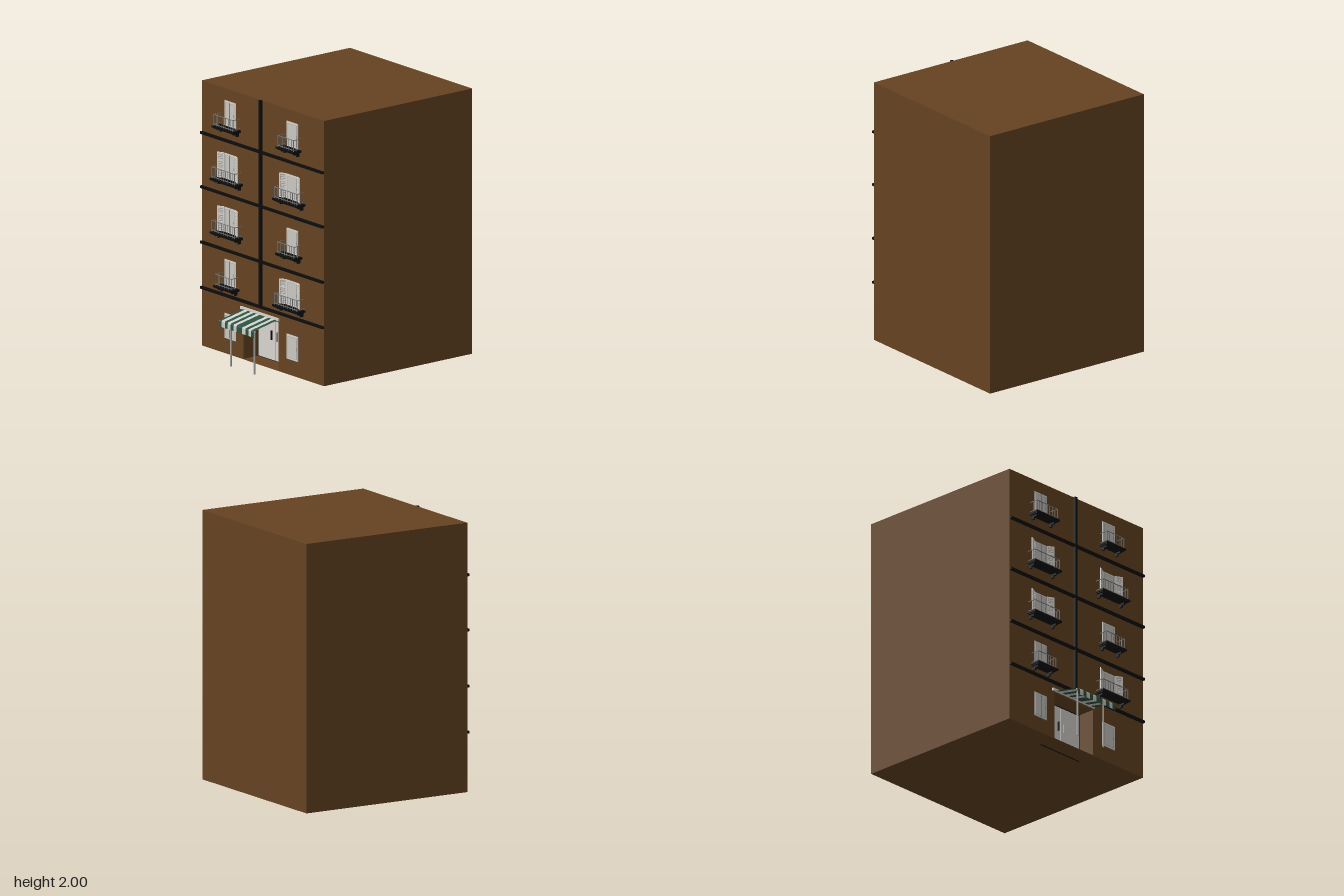
import * as THREE from 'three';

const mat = (name, color, side = THREE.FrontSide) => {
  const m = new THREE.MeshStandardMaterial({ color, side });
  m.name = name;
  return m;
};

export function createModel() {
  const brown = mat('brown wall', 0x654321);
  const black = mat('black trim', 0x0d0d0d);
  const white = mat('off white', 0xd9d6d0);
  const pane = mat('pane', 0xcbc9c3);
  const grey = mat('grey metal', 0x777777);
  const pale = mat('pale metal', 0xaaa9a6);
  const green = mat('green cloth', 0x2a5343, THREE.DoubleSide);
  const cloth = mat('white cloth', 0xd0cec8, THREE.DoubleSide);

  const model = new THREE.Group();
  model.name = 'apartmentBuilding';
  const group = (name, parent = model) => {
    const g = new THREE.Group();
    g.name = name;
    parent.add(g);
    return g;
  };
  // Box given by its minimum and maximum corners
  const box = (parent, name, m, x0, x1, y0, y1, z0, z1) => {
    const mesh = new THREE.Mesh(new THREE.BoxGeometry(x1 - x0, y1 - y0, z1 - z0), m);
    mesh.position.set((x0 + x1) / 2, (y0 + y1) / 2, (z0 + z1) / 2);
    mesh.name = name;
    parent.add(mesh);
    return mesh;
  };
  const FRONT = 0.577, DOOR_Z = 0.44, DX0 = -0.225, DX1 = 0.178;

  // Main block, with the door recess cut through its front slab
  box(model, 'mainBlock', brown, -0.7, 0.7, 0.01, 2, -0.8, DOOR_Z - 0.01);
  const wall = new THREE.Shape();
  wall.moveTo(-0.7, 0.01).lineTo(0.7, 0.01).lineTo(0.7, 2).lineTo(-0.7, 2).closePath();
  const hole = new THREE.Path();
  hole.moveTo(DX0, 0.013).lineTo(DX0, 0.375).lineTo(DX1, 0.375).lineTo(DX1, 0.013).closePath();
  wall.holes.push(hole);
  const slab = new THREE.Mesh(
    new THREE.ExtrudeGeometry(wall, { depth: FRONT - DOOR_Z + 0.01, bevelEnabled: false }), brown);
  slab.position.z = DOOR_Z - 0.01;
  slab.name = 'frontWall';
  model.add(slab);

  // Black bands between floors and the upright band
  const bands = group('bands');
  for (const y of [0.45, 0.79, 1.205, 1.612])
    box(bands, 'floorBand', black, -0.7, 0.7, y - 0.009, y + 0.009, FRONT, 0.597);
  box(bands, 'uprightBand', black, -0.028, -0.006, 0.45, 2, FRONT, 0.597);

  // Window: frame, panes and mullions
  function addWindow(cx, y0, y1, leaves) {
    const g = group('window');
    const w = 0.066;
    box(g, 'surround', pale, cx - w, cx + w, y0, y1, FRONT - 0.002, FRONT + 0.002);
    box(g, 'frame', white, cx - w + 0.003, cx + w - 0.003, y0 + 0.003, y1 - 0.003, FRONT, FRONT + 0.004);
    const step = (2 * w - 0.02) / leaves;
    for (let i = 0; i < leaves; i++) {
      const x = cx - w + 0.01 + i * step;
      const gap = leaves > 1 ? 0.006 : 0.008;
      box(g, 'paneEdge', pale, x + gap - 0.003, x + step - gap + 0.003, y0 + 0.013, y1 - 0.015, FRONT, FRONT + 0.005);
      box(g, 'pane', pane, x + gap, x + step - gap, y0 + 0.016, y1 - 0.018, FRONT, FRONT + 0.006);
    }
    if (leaves > 1)
      box(g, 'mullion', grey, cx - 0.0025, cx + 0.0025, y0 + 0.006, y1 - 0.006, FRONT, FRONT + 0.007);
    box(g, 'handle', grey, cx + 0.046, cx + 0.05, y0 + 0.08, y0 + 0.1, FRONT, FRONT + 0.008);
  }

  // Half-open louvred shutters either side of a window
  function addShutters(cx, y0, y1) {
    for (const s of [-1, 1]) {
      const g = group('shutter');
      g.position.set(cx + s * 0.066, 0, FRONT + 0.002);
      g.rotation.y = -s * 0.47;
      const part = (name, m, a, b, lo, hi, z0, z1) =>
        box(g, name, m, Math.min(s * a, s * b), Math.max(s * a, s * b), lo, hi, z0, z1);
      part('shutterPanel', pale, 0.004, 0.054, y0 + 0.004, y1 - 0.004, 0, 0.002);
      for (const a of [0, 0.049]) part('stile', white, a, a + 0.009, y0, y1, -0.002, 0.005);
      for (const t of [0, 0.33, 0.66, 0.955]) {
        const y = y0 + (y1 - y0) * t;
        part('shutterRail', white, 0, 0.058, y, y + 0.009, -0.002, 0.005);
      }
      for (let y = y0 + 0.016; y < y1 - 0.014; y += 0.013)
        part('slat', white, 0.008, 0.05, y, y + 0.006, -0.001, 0.004);
    }
  }

  // Balcony: slab, brackets and railing
  function addBalcony(x0, x1, top) {
    const g = group('balcony');
    box(g, 'balconySlab', black, x0, x1, top - 0.014, top, FRONT, 0.656);
    box(g, 'slabUnderside', black, x0 + 0.008, x1 - 0.008, top - 0.02, top - 0.014, FRONT, 0.648);
    for (const x of [x0 + 0.028, x1 - 0.028]) {
      box(g, 'bracket', black, x - 0.006, x + 0.006, top - 0.034, top - 0.018, FRONT, 0.628);
      box(g, 'bracketFoot', black, x - 0.006, x + 0.006, top - 0.05, top - 0.034, FRONT, 0.602);
    }
    const a = x0 + 0.012, b = x1 - 0.012, z = 0.644, h = top + 0.084, r = 0.0022;
    for (const y of [top + 0.01, h]) {
      box(g, 'frontRail', grey, a - r, b + r, y - r, y + r, z - r, z + r);
      for (const x of [a, b]) box(g, 'sideRail', grey, x - r, x + r, y - r, y + r, FRONT, z);
    }
    const n = Math.round((b - a) / 0.026);
    for (let i = 0; i <= n; i++) {
      const x = a + (b - a) * i / n, t = i % n ? 0.0014 : 0.0025;
      box(g, 'baluster', grey, x - t, x + t, top, h, z - t, z + t);
    }
    for (const x of [a, b])
      box(g, 'sideBaluster', grey, x - 0.0015, x + 0.0015, top, h, 0.61, 0.613);
  }

  // Upper floors: [window centre, slab top, window top, balcony ends, shutters]
  const LX = -0.375, RX = 0.34;
  for (const [cx, y, top, x0, x1, shutters] of [
    [LX, 0.525, 0.72, -0.477, -0.27, false], [RX, 0.53, 0.72, 0.2, 0.485, true],
    [LX, 0.92, 1.11, -0.515, -0.23, true], [RX, 0.923, 1.11, 0.235, 0.45, false],
    [LX, 1.322, 1.515, -0.515, -0.23, true], [RX, 1.328, 1.515, 0.2, 0.485, true],
    [LX, 1.72, 1.912, -0.492, -0.252, false], [RX, 1.722, 1.912, 0.243, 0.442, false]]) {
    addWindow(cx, y, top, cx < 0 ? 2 : 1);
    if (shutters) addShutters(cx, y + 0.004, top);
    addBalcony(x0, x1, y);
  }
  // Ground floor windows
  addWindow(LX, 0.125, 0.315, 2);
  addWindow(RX, 0.125, 0.315, 1);

  // Double door at the back of the recess
  const door = group('door');
  box(door, 'doorFrame', black, DX0, DX1, 0.008, 0.375, DOOR_Z - 0.009, DOOR_Z);
  box(door, 'rightLeaf', white, DX0 + 0.012, -0.027, 0.02, 0.363, DOOR_Z, DOOR_Z + 0.006);
  box(door, 'leftLeaf', white, -0.021, DX1 - 0.012, 0.02, 0.363, DOOR_Z, DOOR_Z + 0.006);
  box(door, 'rightHandle', black, -0.059, -0.053, 0.17, 0.24, DOOR_Z + 0.006, DOOR_Z + 0.02);
  box(door, 'leftHandle', pale, 0.002, 0.008, 0.17, 0.24, DOOR_Z + 0.006, DOOR_Z + 0.02);

  // Striped awning: sloping cloth and hanging valance
  const awning = group('awning');
  const edges = [-0.217, -0.196, -0.16, -0.126, -0.092, -0.059, -0.026, 0.04, 0.076, 0.11, 0.142, 0.174];
  const profile = [[0.392, FRONT + 0.002], [0.348, 0.798], [0.338, 0.803], [0.298, 0.803]];
  for (let i = 0; i < edges.length - 1; i++) {
    const pos = [], idx = [];
    profile.forEach(([y, z], k) => {
      pos.push(edges[i], y, z, edges[i + 1], y, z);
      if (k) {
        const a = 2 * k - 2;
        idx.push(a, a + 2, a + 1, a + 1, a + 2, a + 3);
      }
    });
    let geo = new THREE.BufferGeometry();
    geo.setAttribute('position', new THREE.Float32BufferAttribute(pos, 3));
    geo.setIndex(idx);
    geo = geo.toNonIndexed();
    geo.computeVertexNormals();
    const stripe = new THREE.Mesh(geo, i % 2 ? cloth : green);
    stripe.name = 'awningStripe';
    awning.add(stripe);
  }
  box(awning, 'awningHousing', white, -0.25, 0.188, 0.386, 0.406, FRONT, FRONT + 0.012);
  const rod = (name, r, len, x, y, z, flat) => {
    const m = new THREE.Mesh(new THREE.CylinderGeometry(r, r, len, 12), pale);
    m.position.set(x, y, z);
    if (flat) m.rotation.z = Math.PI / 2;
    m.name = name;
    awning.add(m);
  };
  rod('frontBar', 0.005, 0.406, -0.021, 0.339, 0.795, true);
  for (const x of [-0.162, 0.108]) rod('awningPole', 0.007, 0.352, x, 0.176, 0.745, false);

  return model;
}
